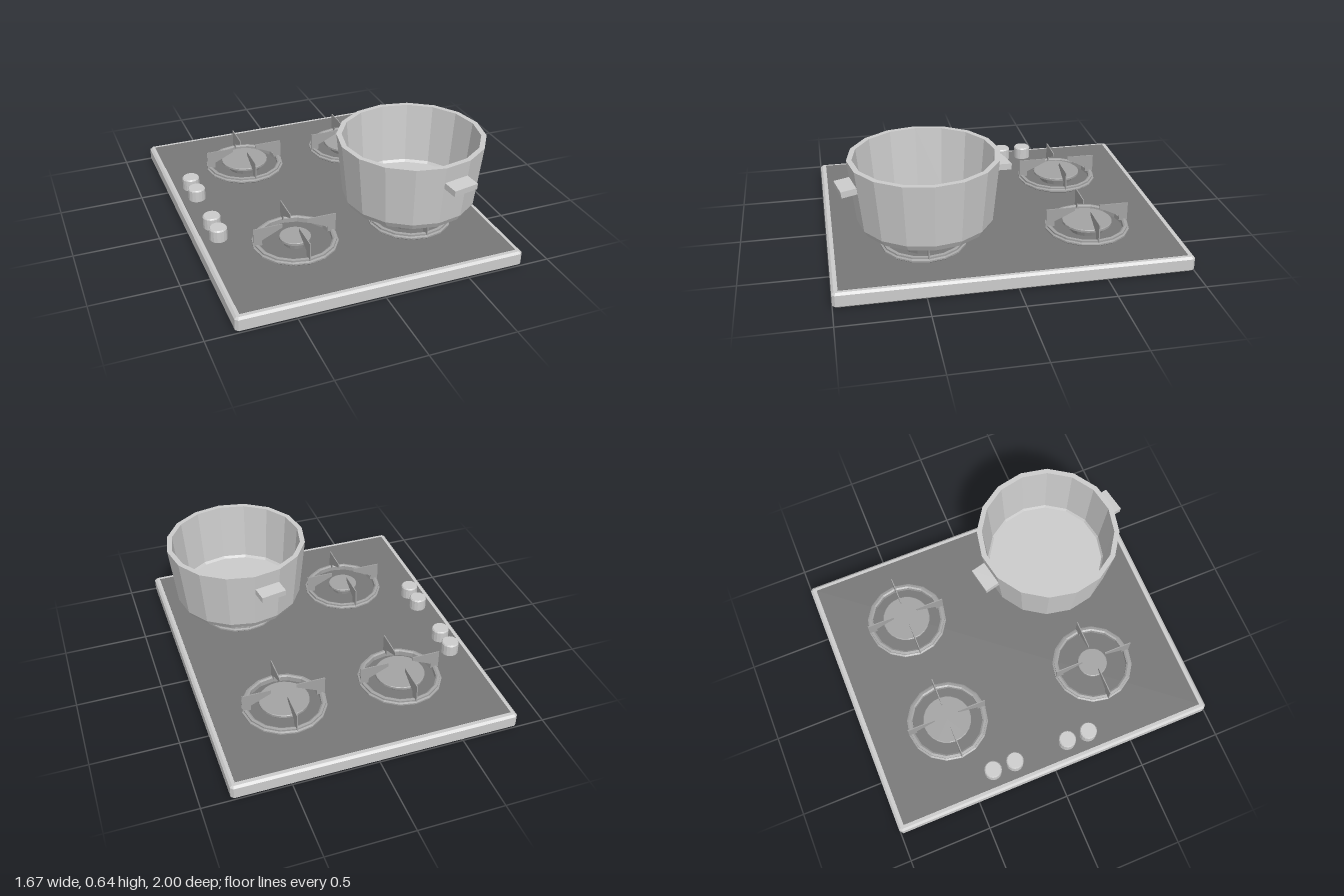
import * as THREE from 'three';

const SIDES = 16;
const material = (color) =>
  new THREE.MeshStandardMaterial({ color, flatShading: true, side: THREE.DoubleSide });
const steel = material(0xcccccc);
const iron = material(0xa3a3a3);
const glass = material(0x777777);

function part(name, geometry, mat, x = 0, y = 0, z = 0) {
  const mesh = new THREE.Mesh(geometry, mat);
  mesh.name = name;
  mesh.position.set(x, y, z);
  return mesh;
}

function lathe(profile, sides = SIDES) {
  return new THREE.LatheGeometry(profile.map(([r, y]) => new THREE.Vector2(r, y)), sides);
}

// Polygon from [x, y] corners
const polygon = (corners) => new THREE.Shape(corners.map(([x, y]) => new THREE.Vector2(x, y)));

// Chamfered tray, standing on y = 0
function trayGeometry() {
  const w = 0.822, d = 0.987, c = 0.008, bevel = 0.012;
  const outline = polygon([
    [-w + c, -d], [w - c, -d], [w, -d + c], [w, d - c],
    [w - c, d], [-w + c, d], [-w, d - c], [-w, -d + c],
  ]);
  const geometry = new THREE.ExtrudeGeometry(outline, {
    depth: 0.066, bevelEnabled: true, bevelThickness: bevel, bevelSize: 0.013, bevelSegments: 1,
  });
  return geometry.rotateX(-Math.PI / 2).translate(0, bevel, 0);
}

// Thin pan support reaching in from the ring
function supportGeometry() {
  const t = 0.006;
  const outline = polygon([
    [0.245, 0.125], [0.245, 0.235], [0.075, 0.235], [0.075, 0.213], [0.195, 0.157], [0.195, 0.125],
  ]);
  return new THREE.ExtrudeGeometry(outline, { depth: t, bevelEnabled: false }).translate(0, 0, -t / 2);
}

function createBurner(x, z, capRadius, capTop) {
  const burner = new THREE.Group();
  burner.name = 'burner';
  burner.position.set(x, 0, z);
  // Ring with a stepped outer edge
  burner.add(part('burnerRing', lathe([
    [0.212, 0.1], [0.238, 0.1], [0.246, 0.107], [0.246, 0.116], [0.236, 0.121],
    [0.236, 0.131], [0.222, 0.134], [0.212, 0.128], [0.212, 0.1],
  ]), iron));
  // Flame head under a flat cap
  burner.add(part('burnerHead', lathe([
    [capRadius * 0.7, 0.09], [capRadius * 0.85, capTop - 0.015],
  ]), iron));
  burner.add(part('burnerCap', lathe([
    [0, capTop - 0.015], [capRadius, capTop - 0.015], [capRadius, capTop - 0.003],
    [capRadius - 0.004, capTop], [0, capTop],
  ], 24), iron));
  const geometry = supportGeometry();
  for (let i = 0; i < 4; i++) {
    const support = part('panSupport', geometry, iron);
    support.rotation.y = (i * Math.PI) / 2;
    burner.add(support);
  }
  return burner;
}

function createPot(x, z) {
  const pot = new THREE.Group();
  pot.name = 'pot';
  pot.position.set(x, 0, z);
  // Flared body with a thick wall, open at the top
  pot.add(part('potBody', lathe([
    [0, 0.242], [0.362, 0.242], [0.383, 0.278], [0.422, 0.64],
    [0.392, 0.64], [0.36, 0.29], [0.35, 0.275], [0, 0.275],
  ]), steel));
  // Handles centred on two opposite facets, square to the sloping wall
  const geometry = new THREE.BoxGeometry(0.155, 0.036, 0.11);
  for (let i = 0; i < 2; i++) {
    const mount = new THREE.Group();
    mount.name = 'potHandle';
    mount.rotation.y = Math.PI / SIDES + i * Math.PI;
    const grip = part('potGrip', geometry, steel, 0, 0.523, 0.434);
    grip.rotation.x = 0.1;
    mount.add(grip);
    pot.add(mount);
  }
  return pot;
}

export function createModel() {
  const hob = new THREE.Group();
  hob.name = 'gasHob';

  hob.add(part('tray', trayGeometry(), steel));
  hob.add(part('cooktop', new THREE.BoxGeometry(1.606, 0.01, 1.93), glass, 0, 0.087, 0));

  // Four burners: x, z, cap radius, cap top
  const burners = [
    [-0.32, -0.5, 0.145, 0.152],
    [0.387, -0.5, 0.145, 0.152],
    [-0.32, 0.46, 0.09, 0.145],
    [0.387, 0.46, 0.175, 0.163],
  ];
  for (const spec of burners) hob.add(createBurner(...spec));

  // Control knobs in two pairs along the right edge
  const knob = lathe([
    [0, 0.09], [0.052, 0.09], [0.052, 0.16], [0.046, 0.168], [0, 0.168],
  ]);
  for (const z of [-0.36, -0.22, 0.12, 0.257]) hob.add(part('knob', knob, steel, -0.71, 0, z));

  hob.add(createPot(0.387, 0.443));
  return hob;
}
